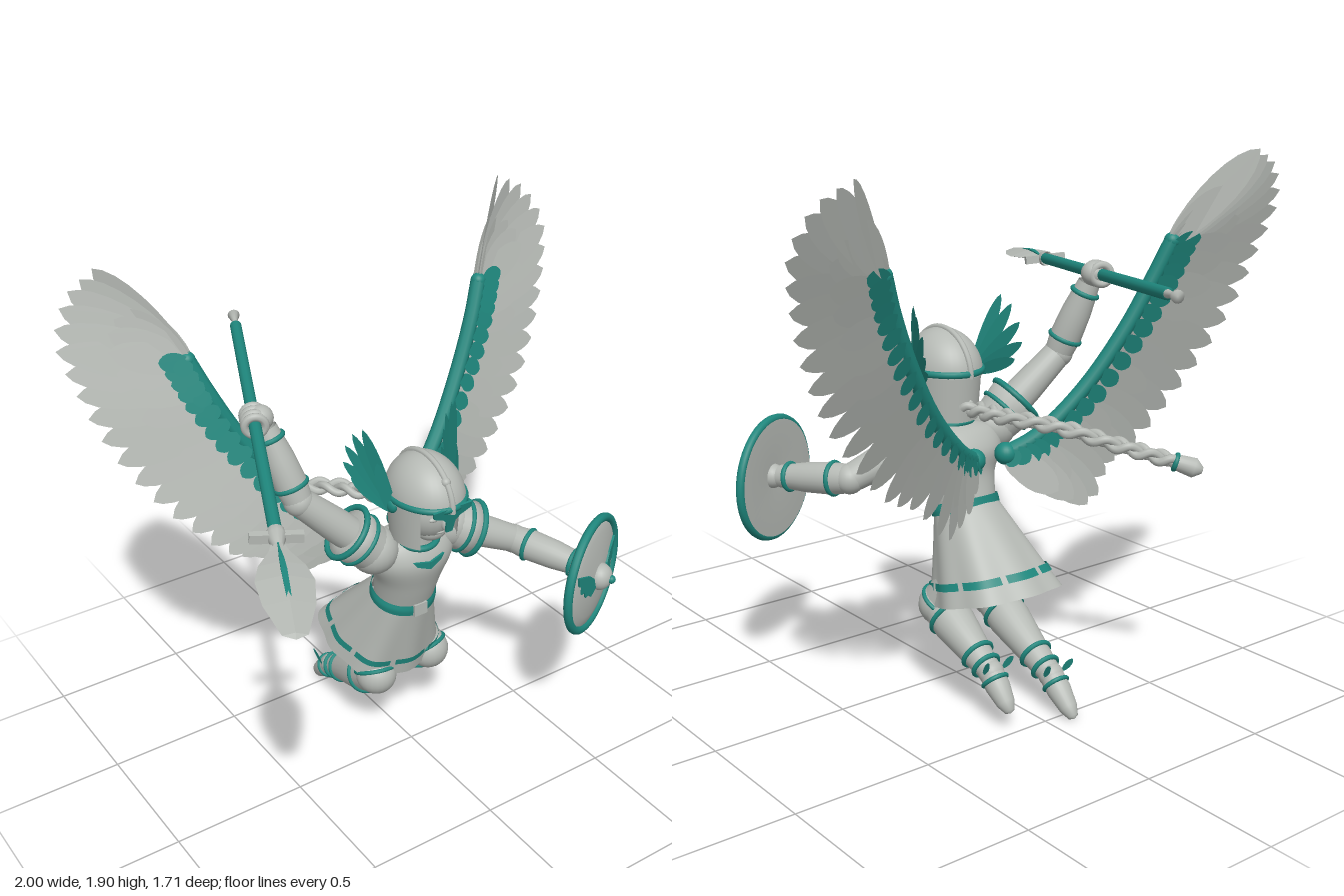
import * as THREE from 'three';

const V = (x, y, z) => new THREE.Vector3(x, y, z);
const pale = new THREE.MeshStandardMaterial({ color: 0xb6bab5, side: THREE.DoubleSide });
pale.name = 'pale stone';
const teal = new THREE.MeshStandardMaterial({ color: 0x1f877d, side: THREE.DoubleSide });
teal.name = 'teal trim';

export function createModel() {
  const root = new THREE.Group();
  root.name = 'wingedWarrior';

  const add = (name, geo, mat, pos, parent = root) => {
    const m = new THREE.Mesh(geo, mat);
    m.name = name;
    if (pos) m.position.copy(pos);
    parent.add(m);
    return m;
  };
  const ball = (name, p, r, mat = pale, sx = 1, sy = 1, sz = 1, parent = root) => {
    const m = add(name, new THREE.SphereGeometry(r, 24, 16), mat, p, parent);
    m.scale.set(sx, sy, sz);
    return m;
  };
  // Turns a mesh so that its y axis runs from a to b
  const aim = (m, a, b) => m.quaternion.setFromUnitVectors(V(0, 1, 0), b.clone().sub(a).normalize());
  // Round part from a to b; profile is [fraction, radius] pairs
  const limb = (name, a, b, profile, mat = pale, segs = 24) => {
    const len = a.distanceTo(b);
    const m = add(name, new THREE.LatheGeometry(profile.map(([t, r]) => new THREE.Vector2(r, t * len)), segs), mat, a);
    aim(m, a, b);
    return m;
  };
  const band = (name, a, b, t, r, tube = 0.009, mat = teal) => {
    const m = add(name, new THREE.TorusGeometry(r, tube, 8, 28).rotateX(Math.PI / 2), mat, a.clone().lerp(b, t));
    aim(m, a, b);
    return m;
  };
  // Body surface through slanted rings [frontZ, frontY, backZ, backY, halfWidth]
  const loft = (name, rings, mat, { rows = 16, segs = 48, a0 = 0, a1 = Math.PI * 2, shape = () => 1 } = {}) => {
    const front = new THREE.CatmullRomCurve3(rings.map(r => V(r[4], r[1], r[0])));
    const back = new THREE.CatmullRomCurve3(rings.map(r => V(r[4], r[3], r[2])));
    const closed = a1 - a0 > 6.28, cols = closed ? segs : segs + 1, pos = [], idx = [];
    for (let i = 0; i <= rows; i++) {
      const f = front.getPoint(i / rows), b = back.getPoint(i / rows);
      for (let j = 0; j < cols; j++) {
        const a = a0 + (a1 - a0) * j / segs, m = shape(a, i / rows), c = Math.cos(a) * m / 2;
        pos.push(f.x * m * Math.sin(a), (f.y + b.y) / 2 + (f.y - b.y) * c, (f.z + b.z) / 2 + (f.z - b.z) * c);
      }
    }
    for (let i = 0; i < rows; i++) for (let j = 0; j < segs; j++) {
      const p = i * cols + j, q = i * cols + (j + 1) % cols;
      idx.push(p, p + cols, q, q, p + cols, q + cols);
    }
    const g = new THREE.BufferGeometry();
    g.setAttribute('position', new THREE.Float32BufferAttribute(pos, 3));
    g.setIndex(idx);
    g.computeVertexNormals();
    return add(name, g, mat);
  };
  // Flat leaf-shaped feather
  const leaf = new THREE.Shape();
  leaf.moveTo(-0.18, 0);
  leaf.bezierCurveTo(-0.6, 0.35, -0.58, 0.88, 0, 1);
  leaf.bezierCurveTo(0.58, 0.88, 0.6, 0.35, 0.18, 0);
  const leafGeo = new THREE.ShapeGeometry(leaf, 8);
  const feather = (name, base, tip, width, normal, mat, twist = 0, parent = root) => {
    const y = tip.clone().sub(base), len = y.length();
    y.normalize();
    const x = y.clone().cross(normal).normalize(), z = x.clone().cross(y);
    const m = add(name, leafGeo, mat, base, parent);
    m.quaternion.setFromRotationMatrix(new THREE.Matrix4().makeBasis(x, y, z));
    m.rotateY(twist);
    m.scale.set(width, len, 1);
  };
  const plate = (pts, depth = 0.008) =>
    new THREE.ExtrudeGeometry(new THREE.Shape(pts.map(p => new THREE.Vector2(...p))), { depth, bevelEnabled: false });

  // Torso, belt and collar
  loft('torso', [[0.03, 0.94, -0.02, 0.96, 0.055], [0.08, 0.92, -0.09, 0.93, 0.15], [0.11, 0.85, -0.13, 0.87, 0.17],
    [0.08, 0.73, -0.13, 0.79, 0.13], [0.04, 0.61, -0.15, 0.70, 0.112]], pale, { rows: 24 });
  loft('belt', [[0.054, 0.65, -0.155, 0.72, 0.12], [0.056, 0.63, -0.16, 0.7, 0.126], [0.052, 0.608, -0.165, 0.682, 0.126]], teal);
  add('buckle', new THREE.BoxGeometry(0.055, 0.048, 0.02), pale, V(0, 0.632, 0.052));
  limb('neck', V(0, 0.91, 0.02), V(0, 1.05, 0.05), [[0, 0.07], [0.5, 0.055], [1, 0.055]]);
  band('collar', V(0, 0.93, 0.03), V(0, 1, 0.05), 0.1, 0.073, 0.012);
  for (const s of [1, -1]) {
    const m = add('chestOrnament', plate([[0, -0.024], [0, 0.004], [s * 0.02, 0.008], [s * 0.065, 0.016], [s * 0.05, -0.004], [s * 0.025, -0.014]]), teal, V(0, 0.86, 0.111));
    m.rotation.y = s * 0.15;
  }

  // Pleated skirt, squarer towards the hem, with a broken trim band
  const pleats = 8;
  const pleat = (a, t) => {
    const square = (Math.abs(Math.cos(a)) ** 3 + Math.abs(Math.sin(a)) ** 3) ** (-1 / 3);
    return 1 + t * (0.75 * (square - 1) + 0.03 * Math.cos(pleats * a));
  };
  const ring = (t, k = 0) => [0.045 - 0.065 * t + k, 0.61 - 0.3 * t, -0.155 - 0.275 * t - k, 0.70 - 0.265 * t, 0.118 + 0.09 * t + k];
  loft('skirt', [ring(0), ring(1)], pale, { rows: 8, segs: 144, shape: pleat });
  for (let i = 0; i < pleats; i++) {
    const mid = i * Math.PI * 2 / pleats;
    loft('skirtTrim', [ring(0.74, 0.008), ring(0.82, 0.008)], teal,
      { rows: 1, segs: 14, a0: mid - 0.34, a1: mid + 0.34, shape: a => pleat(a, 0.78) });
  }

  // Head, face and hair
  ball('head', V(0, 1.085, 0.09), 0.1, pale, 0.98, 1.15, 1.1);
  const hair = add('hair', new THREE.CylinderGeometry(0.124, 0.112, 0.17, 32, 1, true, 0.75, Math.PI * 2 - 1.5), pale, V(0, 1.05, 0.07));
  hair.scale.z = 1.15;
  ball('nose', V(0, 1.06, 0.198), 0.015, pale, 0.8, 1.5, 1);
  ball('lips', V(0, 1.022, 0.172), 0.02, pale, 1.2, 0.4, 0.7);
  ball('jaw', V(0, 1.01, 0.115), 0.06, pale, 1, 0.75, 0.95);
  for (const s of [1, -1]) ball('eye', V(s * 0.038, 1.085, 0.186), 0.016, pale, 1.2, 0.6, 0.6);

  // Helmet with ridge, brow band, nose guard and side feathers
  const dome = add('helmet', new THREE.SphereGeometry(1, 36, 16, 0, Math.PI * 2, 0, Math.PI / 2), pale, V(0, 1.125, 0.08));
  dome.scale.set(0.13, 0.155, 0.163);
  const ridge = add('helmetRidge', new THREE.TorusGeometry(0.159, 0.011, 8, 32, Math.PI).rotateY(Math.PI / 2), pale, V(0, 1.125, 0.08));
  ridge.scale.set(1, 0.98, 1.02);
  const brow = add('browBand', new THREE.TorusGeometry(0.129, 0.008, 8, 40).rotateX(Math.PI / 2), teal, V(0, 1.14, 0.08));
  brow.scale.set(1, 1.5, 1.25);
  ball('helmetStud', V(0, 1.225, 0.2), 0.017);
  const guard = add('noseGuard', plate([[-0.08, 0.02], [0.08, 0.02], [0.075, -0.004], [0.035, -0.022], [0.018, -0.04], [0.013, -0.085], [-0.013, -0.085], [-0.018, -0.04], [-0.035, -0.022], [-0.075, -0.004]]), teal, V(0, 1.13, 0.234));
  guard.rotation.x = 0.2;
  const crest = [[0.19, 1.39, -0.01], [0.205, 1.36, -0.05], [0.21, 1.30, -0.09], [0.21, 1.23, -0.105], [0.19, 1.17, -0.09], [0.16, 1.27, 0.03]];
  for (const s of [1, -1]) {
    crest.forEach(([x, y, z], i) => feather('helmetFeather', V(s * (0.12 + 0.004 * i), 1.1, 0.07), V(s * x, y, z), 0.05, V(s, 0, 0.35), teal, 0.25));
    ball('featherBoss', V(s * 0.128, 1.115, 0.065), 0.028, teal, 0.6, 1, 1);
  }

  // Three-strand braid
  const braidPath = new THREE.CatmullRomCurve3([V(0, 1.02, -0.06), V(-0.04, 1.01, -0.2), V(-0.15, 0.99, -0.37), V(-0.28, 0.94, -0.54), V(-0.40, 0.895, -0.68)]);
  for (let k = 0; k < 3; k++) {
    const pts = [];
    for (let i = 0; i <= 70; i++) {
      const t = i / 70, ph = Math.PI * 2 * (3.5 * t + k / 3), amp = 0.028 - 0.008 * t;
      const side = braidPath.getTangent(t).cross(V(0, 1, 0)).normalize();
      const p = braidPath.getPoint(t).addScaledVector(side, Math.cos(ph) * amp);
      p.y += Math.sin(2 * ph) * 0.013;
      pts.push(p);
    }
    add('braidStrand', new THREE.TubeGeometry(new THREE.CatmullRomCurve3(pts), 140, 0.015, 8), pale);
  }
  const braidEnd = V(-0.40, 0.895, -0.68), braidTip = V(-0.46, 0.87, -0.745);
  limb('braidTuft', braidEnd, braidTip, [[-0.2, 0.02], [0.1, 0.028], [0.7, 0.034], [1, 0.012], [1.02, 0]]);
  band('braidTie', braidEnd, braidTip, 0, 0.025);

  // Arms with flared sleeves and banded gauntlets
  const arms = [
    { sh: V(-0.16, 0.915, 0), el: V(-0.41, 1.16, -0.07), wr: V(-0.475, 1.42, -0.155) },
    { sh: V(0.16, 0.915, 0), el: V(0.40, 0.80, 0.08), wr: V(0.52, 0.77, 0.335) }];
  for (const { sh, el, wr } of arms) {
    ball('shoulder', sh, 0.088);
    limb('upperArm', sh, el, [[0, 0.06], [0.5, 0.06], [1, 0.05]]);
    limb('sleeve', sh, el, [[0, 0.082], [0.2, 0.092], [0.36, 0.1], [0.36, 0.06]]);
    band('sleeveTrim', sh, el, 0.36, 0.098, 0.011);
    band('sleeveTrim', sh, el, 0.2, 0.093, 0.008);
    ball('elbow', el, 0.053);
    limb('forearm', el, wr, [[0, 0.05], [0.25, 0.057], [0.6, 0.053], [1, 0.04]]);
    band('gauntletTrim', el, wr, 0.22, 0.055);
    band('gauntletTrim', el, wr, 0.86, 0.046);
    ball('hand', wr.clone().lerp(el, -0.13), 0.044);
  }

  // Spear
  const butt = V(-0.2, 1.5, -0.85), point = V(-0.965, 1.375, 0.855), spearLen = butt.distanceTo(point);
  limb('spearShaft', butt, point, [[0.045, 0], [0.045, 0.021], [0.745, 0.021], [0.745, 0]], teal, 12);
  limb('spearButt', butt, point, [[0, 0], [0, 0.022], [0.025, 0.01], [0.05, 0.016]], pale, 12);
  limb('spearSocket', butt, point, [[0.735, 0.027], [0.75, 0.03], [0.775, 0.016]], pale, 12);
  const bladeStart = butt.clone().lerp(point, 0.76), bladeRoll = -0.5;
  const bladePart = (name, phi, mat, sx, sy, sz) => {
    const g = new THREE.LatheGeometry([[0.016, 0], [0.03, 0.05], [0.068, 0.12], [0.085, 0.19], [0.074, 0.3], [0.036, 0.43], [0, 0.449]]
      .map(p => new THREE.Vector2(...p)), 4, phi).toNonIndexed();
    g.computeVertexNormals();
    const m = add(name, g, mat, bladeStart);
    aim(m, butt, point);
    m.rotateY(bladeRoll);
    m.scale.set(sx, sy, sz);
  };
  bladePart('spearBlade', 0, pale, 1, 1, 0.24);
  bladePart('bladeRidge', Math.PI / 4, teal, 0.15, 0.85, 0.365);
  const lug = add('spearLugs', new THREE.BoxGeometry(0.16, 0.024, 0.03), pale, butt.clone().lerp(point, 0.75));
  aim(lug, butt, point);
  lug.rotateY(bladeRoll);
  for (let i = 0; i < 4; i++) band('finger', butt, point, 0.4 + (i - 1.5) * 0.024 / spearLen, 0.034, 0.014, pale);

  // Round shield
  const shield = new THREE.Group();
  shield.name = 'shield';
  shield.position.set(0.525, 0.757, 0.375);
  shield.rotation.y = 0.465;
  root.add(shield);
  const disc = [[0, -0.004], [0.21, -0.018], [0.21, 0], [0.16, 0.013], [0.1, 0.025], [0, 0.034]].map(p => new THREE.Vector2(...p));
  add('shieldDisc', new THREE.LatheGeometry(disc, 48).rotateX(Math.PI / 2), pale, null, shield);
  add('shieldRim', new THREE.TorusGeometry(0.211, 0.016, 10, 56), teal, null, shield);
  ball('shieldBoss', V(0, 0, 0.032), 0.05, pale, 1, 1, 0.9, shield);
  ball('bossTip', V(0, 0, 0.076), 0.016, teal, 1, 1, 1, shield);
  for (const s of [1, -1]) {
    const w = [[0.045, -0.02], [0.06, 0.025], [0.09, 0.05], [0.165, 0.078], [0.158, 0.04], [0.142, 0.03], [0.142, 0], [0.122, -0.004], [0.114, -0.028], [0.095, -0.026], [0.075, -0.045]];
    add('shieldWing', plate(w.map(([x, y]) => [s * x, y])), teal, V(0, 0, 0.037), shield).rotation.y = s * 0.16;
  }

  // Legs bent back, with banded greaves, pointed boots and heel feathers
  const legs = [
    { hip: V(-0.08, 0.52, -0.19), knee: V(-0.105, 0.3, -0.08), ankle: V(-0.085, 0.12, -0.43), toe: V(-0.08, 0.005, -0.56) },
    { hip: V(0.08, 0.52, -0.19), knee: V(0.13, 0.325, -0.075), ankle: V(0.135, 0.17, -0.37), toe: V(0.137, 0.06, -0.48) }];
  for (const { hip, knee, ankle, toe } of legs) {
    limb('thigh', hip, knee, [[0, 0.07], [0.6, 0.068], [1, 0.072]]);
    ball('knee', knee, 0.077);
    band('kneeTrim', hip, knee, 0.92, 0.074, 0.008);
    limb('calf', knee, ankle, [[0, 0.07], [0.3, 0.076], [0.7, 0.056], [1, 0.04]]);
    for (const [t, r] of [[0.2, 0.075], [0.74, 0.055], [0.9, 0.048]]) band('greaveTrim', knee, ankle, t, r);
    ball('ankle', ankle, 0.045);
    limb('boot', ankle, toe, [[0, 0.043], [0.35, 0.043], [0.75, 0.032], [0.95, 0.018], [1, 0]]);
    band('bootTrim', ankle, toe, 0.2, 0.043, 0.008);
    for (const s of [1, -1]) {
      const b = ankle.clone().add(V(s * 0.042, 0.01, -0.01));
      feather('heelFeather', b, b.clone().add(V(s * 0.01, 0.055, -0.045)), 0.024, V(s, 0, 0), teal);
    }
  }

  // Wings: an arm bone with layered feathers reaching towards a tip outline
  const bonePts = [[0.07, 0.87, -0.19], [0.17, 0.93, -0.24], [0.32, 1.08, -0.30], [0.46, 1.29, -0.36], [0.55, 1.47, -0.40], [0.60, 1.59, -0.43]];
  const tipPts = [[0.2, 0.74, -0.32], [0.32, 0.68, -0.36], [0.43, 0.80, -0.34], [0.54, 0.85, -0.34], [0.68, 0.99, -0.37], [0.81, 1.16, -0.41],
    [0.91, 1.35, -0.46], [0.97, 1.54, -0.50], [1.0, 1.71, -0.55], [0.93, 1.84, -0.59], [0.82, 1.9, -0.61]];
  // [name, count, reach, width, offset, material, last tip fraction, spread along the bone]
  const layers = [['flightFeather', 24, 1, 0.12, 0, pale, 1, 1.2],
    ['covert', 18, 0.62, 0.11, 0.012, pale, 0.97, 1.22], ['covert', 18, 0.62, 0.11, -0.012, pale, 0.97, 1.22],
    ['smallCovert', 20, 0.25, 0.07, 0.025, teal, 0.76, 1.31], ['smallCovert', 20, 0.25, 0.07, -0.025, teal, 0.76, 1.31],
    ['edgeCovert', 18, 0.16, 0.06, 0.036, teal, 0.74, 1.31]];
  for (const s of [1, -1]) {
    const wing = new THREE.Group();
    wing.name = s > 0 ? 'leftWing' : 'rightWing';
    root.add(wing);
    const curve = pts => new THREE.CatmullRomCurve3(pts.map(([x, y, z]) => V(s * x, y, z)));
    const bone = curve(bonePts), tips = curve(tipPts);
    add('wingBone', new THREE.TubeGeometry(bone, 32, 0.028, 10), teal, null, wing);
    ball('wingRoot', bone.getPoint(0), 0.04, teal, 1, 1, 1, wing);
    ball('wingTip', bone.getPoint(1), 0.028, teal, 1, 1, 1, wing);
    for (const [name, count, reach, width, off, mat, last, spread] of layers) {
      for (let i = 0; i < count; i++) {
        const t = last * i / (count - 1), u = Math.min(1, t * spread);
        const base = bone.getPoint(u), tip = tips.getPoint(t);
        const n = bone.getTangent(u).cross(tip.clone().sub(base)).normalize();
        if (n.z < 0) n.negate();
        const end = base.clone().lerp(tip, reach).addScaledVector(n, off);
        feather(name, base.addScaledVector(n, off), end, width, n, mat, s * -0.15, wing);
      }
    }
  }
  return root;
}
